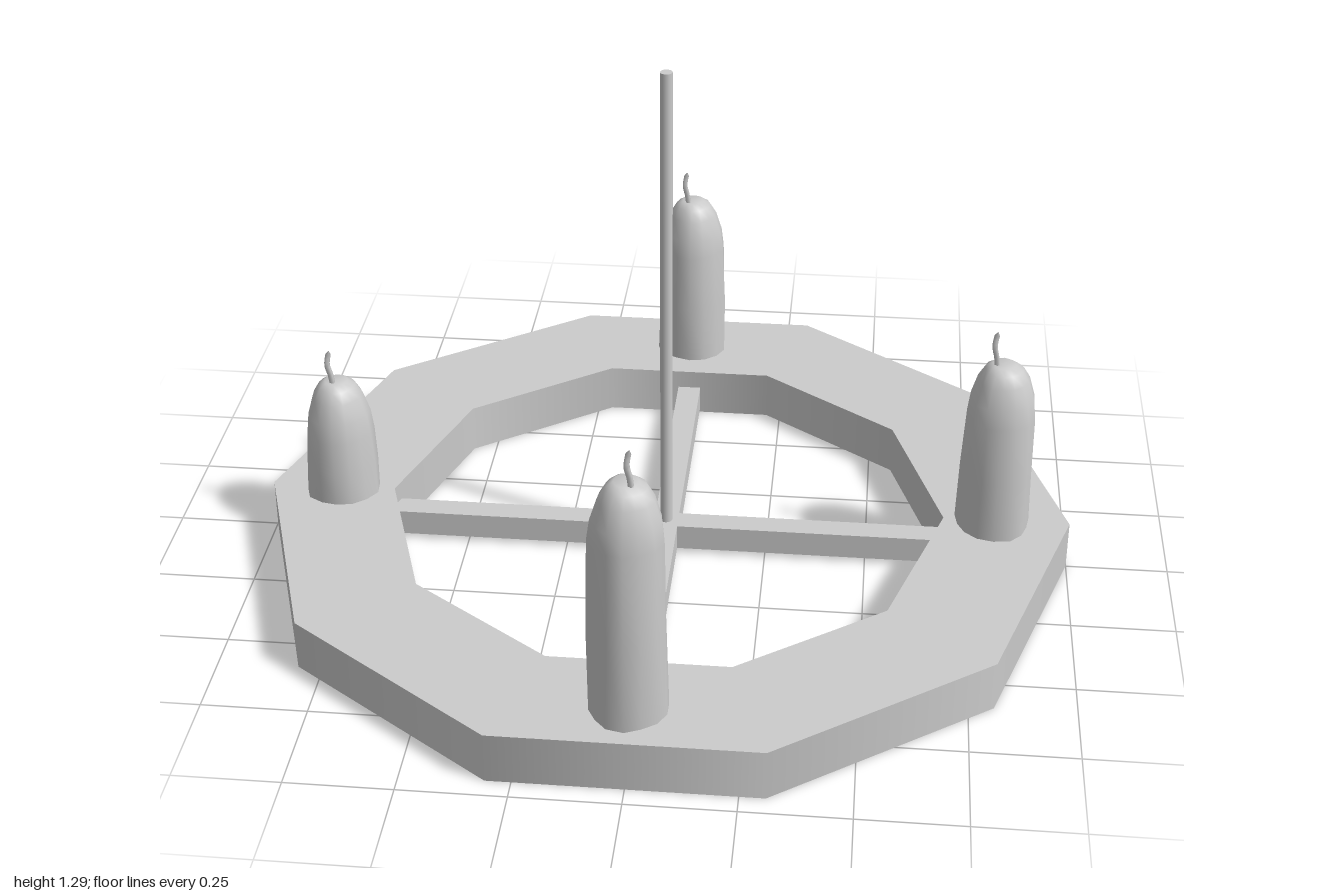
import * as THREE from 'three';
import { mergeVertices } from 'three/addons/utils/BufferGeometryUtils.js';

const SIDES = 10, OUTER = 1, INNER = 0.69, TOP = 0.125;
const grey = new THREE.MeshStandardMaterial({ color: 0xcccccc });
const greyInside = new THREE.MeshStandardMaterial({ color: 0xcccccc, side: THREE.BackSide });

function add(parent, name, geometry, material = grey) {
  const mesh = new THREE.Mesh(geometry, material);
  mesh.name = name;
  parent.add(mesh);
  return mesh;
}

// Ten-sided ring: outer and inner walls with flat top and bottom
function makeRing() {
  const ring = new THREE.Group();
  ring.name = 'ring';
  const wall = r => new THREE.CylinderGeometry(r, r, TOP, SIDES, 1, true, Math.PI / 2)
    .translate(0, TOP / 2, 0);
  add(ring, 'outerWall', wall(OUTER));
  add(ring, 'innerWall', wall(INNER), greyInside);
  const cap = () => new THREE.RingGeometry(INNER, OUTER, SIDES, 1);
  add(ring, 'ringTop', cap().rotateX(-Math.PI / 2).translate(0, TOP, 0));
  add(ring, 'ringBottom', cap().rotateX(Math.PI / 2));
  return ring;
}

// Slightly lumpy candle body with a rounded, melted top
function candleBody(height, seed) {
  const profile = [
    [0.09, 0], [0.088, (height - 0.14) * 0.5], [0.083, height - 0.14],
    [0.077, height - 0.09], [0.062, height - 0.04], [0.046, height - 0.013],
    [0.028, height], [0, height - 0.004],
  ].map(p => new THREE.Vector2(...p));
  let g = new THREE.LatheGeometry(profile, 14);
  const p = g.attributes.position;
  for (let i = 0; i < p.count; i++) {
    const x = p.getX(i), y = p.getY(i), z = p.getZ(i);
    const a = Math.atan2(z, x);
    const s = 1 + 0.035 * Math.sin(3 * a + seed + y * 9) + 0.025 * Math.sin(5 * a + seed * 2.3);
    p.setXYZ(i, x * s, y, z * s);
  }
  g.deleteAttribute('uv');
  g.deleteAttribute('normal');
  g = mergeVertices(g);
  g.computeVertexNormals();
  return g;
}

// Thin crooked wick narrowing to a point
function wickGeometry(x, z, height) {
  const path = new THREE.CatmullRomCurve3([
    [0.004, -0.02, -0.003], [0, 0.02, 0], [-0.006, 0.05, 0.003], [-0.003, 0.075, 0], [0, 0.088, 0],
  ].map(([a, b, c]) => new THREE.Vector3(x + a, height + b, z + c)));
  const steps = 10, sides = 6;
  const g = new THREE.TubeGeometry(path, steps, 0.007, sides);
  const tip = path.getPoint(1), p = g.attributes.position;
  for (let j = 0; j <= sides; j++) p.setXYZ(steps * (sides + 1) + j, tip.x, tip.y, tip.z);
  return g;
}

export function createModel() {
  const model = new THREE.Group();
  model.name = 'candleWreath';
  model.add(makeRing());

  // Crossed support bars inside the ring
  const inradius = INNER * Math.cos(Math.PI / SIDES);
  add(model, 'crossBarSide', new THREE.BoxGeometry(2 * INNER, 0.065, 0.06)).position.y = 0.044;
  add(model, 'crossBarDepth', new THREE.BoxGeometry(0.06, 0.065, 2 * inradius)).position.y = 0.044;

  // Central hanging rod
  add(model, 'centreRod', new THREE.CylinderGeometry(0.015, 0.015, 1.25, 12)).position.y = 0.665;

  // Four candles of different heights: x, z, height, wick offset x, wick offset z
  const candles = [
    ['rightCandle', -0.82, 0, 0.31, -0.01, 0.01],
    ['frontCandle', -0.005, 0.82, 0.59, 0.01, 0.02],
    ['leftCandle', 0.81, 0.005, 0.45, -0.02, 0.005],
    ['backCandle', -0.005, -0.81, 0.45, -0.015, 0.015],
  ];
  candles.forEach(([name, x, z, height, wx, wz], i) => {
    const candle = new THREE.Group();
    candle.name = name;
    candle.position.set(x, TOP, z);
    add(candle, 'wax', candleBody(height, i * 1.7 + 0.6));
    add(candle, 'wick', wickGeometry(wx, wz, height));
    model.add(candle);
  });
  return model;
}
